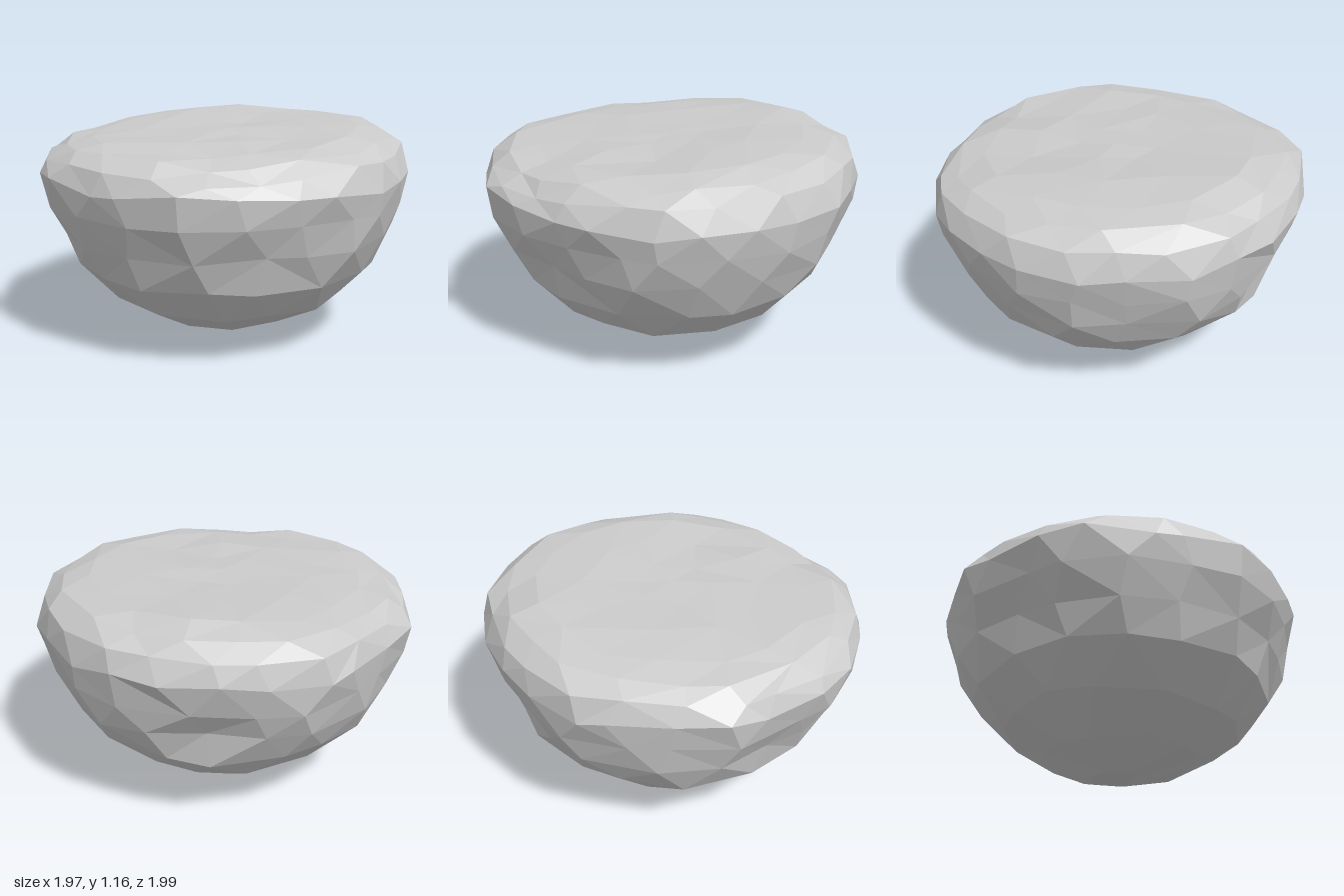
import * as THREE from 'three';

// Plan outline: radius every 15 degrees, from +x towards +z
const OUTLINE = [0.98, 0.97, 0.95, 0.97, 1.0, 0.985, 0.985, 1.015, 1.0, 0.97, 1.0, 0.97,
  0.99, 1.015, 0.985, 0.985, 0.99, 1.0, 1.0, 0.98, 1.0, 0.98, 0.97, 0.98];

// Rings from the foot up and over the rim: [scale, height, corners, jitter]
const RINGS = [
  [0.13, 0.01, 6, 0.008],
  [0.42, 0.115, 11, 0.02],
  [0.66, 0.255, 14, 0.024],
  [0.825, 0.43, 17, 0.022],
  [0.915, 0.61, 19, 0.018],
  [0.97, 0.77, 21, 0.014],
  [1.003, 0.92, 24, 0.004],
  [0.96, 1.025, 23, 0.014],
  [0.865, 1.085, 20, 0.016],
  [0.72, 1.11, 16, 0.014],
  [0.46, 1.12, 10, 0.012],
  [0.2, 1.12, 6, 0.008],
];
const BROW = 6; // the widest ring, where the flank turns into the top

// Hollows in the flank: [angle in degrees, height, depth]
const HOLLOWS = [[124, 0.62, 0.06], [172, 0.93, 0.025], [226, 0.62, 0.05]];

// Swells and dips of the top: [x, z, height]
const SWELLS = [[-0.5, -0.5, 0.025], [0.4, -0.5, 0.03], [-0.9, -0.1, 0.025], [0, 0.93, 0.03],
  [0.4, 0.1, -0.015], [0.64, 0.6, -0.04]];

function seeded(seed) {
  return () => {
    seed = (seed * 16807) % 2147483647;
    return (seed / 2147483647) * 2 - 1;
  };
}

function outlineRadius(angle) {
  const n = OUTLINE.length;
  const t = ((angle / (2 * Math.PI)) * n + n) % n;
  const i = Math.floor(t);
  return THREE.MathUtils.lerp(OUTLINE[i % n], OUTLINE[(i + 1) % n], t - i);
}

function hollowDepth(angle, y) {
  let depth = 0;
  for (const [deg, hy, d] of HOLLOWS) {
    const diff = angle - THREE.MathUtils.degToRad(deg);
    const da = Math.atan2(Math.sin(diff), Math.cos(diff));
    depth += d * Math.exp(-((da / 0.2) ** 2) - ((y - hy) / 0.15) ** 2);
  }
  return depth;
}

// The top leans gently down towards the front
function topOffset(x, z) {
  let y = -0.03 * z;
  for (const [sx, sz, h] of SWELLS) y += h * Math.exp(-((x - sx) ** 2 + (z - sz) ** 2) / 0.05);
  return y;
}

function rockGeometry() {
  const rand = seeded(52361);
  const positions = [-0.05, 0, 0.02];
  const index = [];

  // Ragged rings of corners
  const rings = RINGS.map(([scale, height, count, jitter], k) => {
    const ring = [];
    for (let i = 0; i < count; i++) {
      const angle = ((i + (k % 2) * 0.5 + rand() * 0.26) / count) * 2 * Math.PI;
      const y = height + rand() * (k === BROW ? 0.03 : jitter);
      const r = outlineRadius(angle) * scale + rand() * jitter - hollowDepth(angle, y);
      const x = r * Math.cos(angle) - (k === 0 ? 0.05 : 0);
      const z = r * Math.sin(angle);
      ring.push({ angle, id: positions.length / 3 });
      positions.push(x, Math.max(0, y + (k > BROW ? topOffset(x, z) : 0)), z);
    }
    return ring;
  });

  // Stitch neighbouring rings, always advancing the one that lags behind
  const at = (ring, i) => ring[i % ring.length].id;
  const angleAt = (ring, i) => ring[i % ring.length].angle + (i >= ring.length ? 2 * Math.PI : 0);
  for (let k = 0; k < rings.length - 1; k++) {
    const low = rings[k], high = rings[k + 1];
    let i = 0, j = 0;
    while (i < low.length || j < high.length) {
      const stepLow = j >= high.length ||
        (i < low.length && angleAt(low, i + 1) <= angleAt(high, j + 1));
      if (stepLow) {
        index.push(at(low, i), at(high, j), at(low, i + 1));
        i++;
      } else {
        index.push(at(low, i), at(high, j), at(high, j + 1));
        j++;
      }
    }
  }

  // Close the foot and the top
  const first = rings[0], last = rings[rings.length - 1];
  const crown = positions.length / 3;
  positions.push(0.02, 1.12, 0);
  first.forEach((p, i) => index.push(0, p.id, at(first, i + 1)));
  last.forEach((p, i) => index.push(p.id, crown, at(last, i + 1)));

  const geometry = new THREE.BufferGeometry();
  geometry.setAttribute('position', new THREE.Float32BufferAttribute(positions, 3));
  geometry.setIndex(index);
  const faceted = geometry.toNonIndexed();
  faceted.computeVertexNormals();
  return faceted;
}

export function createModel() {
  const group = new THREE.Group();
  group.name = 'flatToppedRock';
  const material = new THREE.MeshStandardMaterial({ color: 0xcccccc, flatShading: true });
  const rock = new THREE.Mesh(rockGeometry(), material);
  rock.name = 'rock';
  group.add(rock);
  return group;
}
